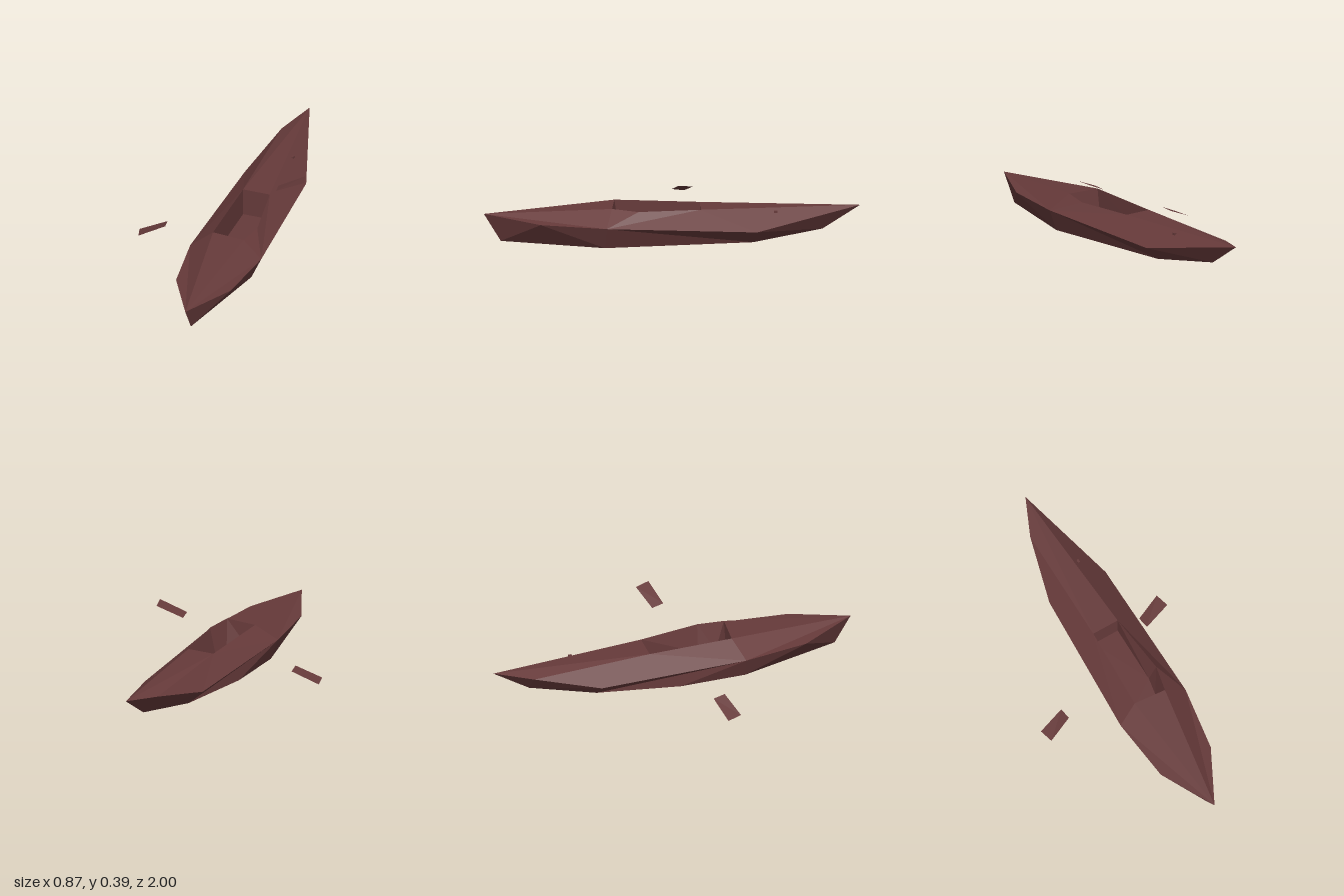
import * as THREE from 'three';

const paint = new THREE.MeshStandardMaterial({ color: 0x663a3a, flatShading: true, side: THREE.DoubleSide });
paint.name = 'dull red paint';

function meshFrom(name, triangles) {
  const geo = new THREE.BufferGeometry();
  geo.setAttribute('position', new THREE.Float32BufferAttribute(triangles.flat(2), 3));
  geo.computeVertexNormals();
  const mesh = new THREE.Mesh(geo, paint);
  mesh.name = name;
  return mesh;
}

// Skin between two edge lines that both run from bow to stern
function strip(a, b) {
  const out = [];
  let i = 0, j = 0;
  while (i < a.length - 1 || j < b.length - 1) {
    const za = i < a.length - 1 ? a[i + 1][2] : -Infinity;
    const zb = j < b.length - 1 ? b[j + 1][2] : -Infinity;
    const next = za >= zb ? a[i + 1] : b[j + 1];
    if (a[i] !== b[j] && next !== a[i] && next !== b[j]) out.push([a[i], b[j], next]);
    if (za >= zb) i++; else j++;
  }
  return out;
}

export function createModel() {
  const model = new THREE.Group();
  model.name = 'kayak';

  // Edge lines of the hull, bow to stern
  const bow = [0.127, 0.15, 1], stern = [0.127, 0.19, -1];
  const keelFront = [0.127, 0, 0.91], keelBack = [0.127, 0.06, -0.8];
  const gunwaleR = [bow, [-0.03, 0.13, 0.7], [-0.073, 0.12, 0.35], [-0.045, 0.09, -0.45], [0.04, 0.165, -0.8], stern];
  const gunwaleL = [bow, [0.278, 0.13, 0.7], [0.327, 0.12, 0.35], [0.3, 0.09, -0.45], stern];
  const chineR = [keelFront, [-0.025, 0, 0.36], [-0.025, 0, 0], [0.04, 0.01, -0.45], keelBack, stern];
  const chineL = [keelFront, [0.275, 0, 0.36], [0.21, 0.01, -0.43], keelBack, stern];

  // Cockpit rim and floor corners
  const rimR = [[0.04, 0.2, 0.305], [0.05, 0.188, -0.15]];
  const rimL = [[0.217, 0.2, 0.32], [0.245, 0.19, 0.18], [0.2, 0.188, -0.15]];
  const floorR = [[0.04, 0.04, 0.28], [0.05, 0.03, -0.15]];
  const floorL = [[0.19, 0.04, 0.265], [0.205, 0.04, 0.17], [0.2, 0.03, -0.15]];

  model.add(meshFrom('hull', [
    ...strip(chineR, gunwaleR), ...strip(gunwaleL, chineL), ...strip(chineL, chineR),
  ]));
  model.add(meshFrom('deck', [
    ...strip(gunwaleR, [bow, ...rimR, stern]),
    ...strip([bow, ...rimL, stern], gunwaleL),
    [rimR[0], bow, rimL[0]],
    [rimR[1], rimL[2], stern],
  ]));

  // Sunken cockpit: walls around the rim, then the floor
  const rim = [...rimR, ...[...rimL].reverse()];
  const base = [...floorR, ...[...floorL].reverse()];
  const walls = rim.flatMap((p, i) => {
    const k = (i + 1) % rim.length;
    return [[p, base[i], base[k]], [p, base[k], rim[k]]];
  });
  model.add(meshFrom('cockpit', [...walls, ...strip(floorR, floorL)]));

  // Paddle blades, one the half-turn image of the other
  const blade = [[0.29, 0.33, 0.005], [0.435, 0.39, -0.03], [0.415, 0.38, -0.107], [0.28, 0.32, -0.06]];
  const turned = blade.map(([x, y, z]) => [-x, 0.395 - y, 0.1 - z]);
  for (const [name, q] of [['leftPaddleBlade', blade], ['rightPaddleBlade', turned]]) {
    model.add(meshFrom(name, [[q[0], q[1], q[2]], [q[0], q[2], q[3]]]));
  }

  // Small fitting on the rear deck
  const fitting = new THREE.Mesh(new THREE.BoxGeometry(0.012, 0.012, 0.018), paint);
  fitting.name = 'deckFitting';
  fitting.position.set(0.19, 0.172, -0.55);
  model.add(fitting);

  return model;
}
